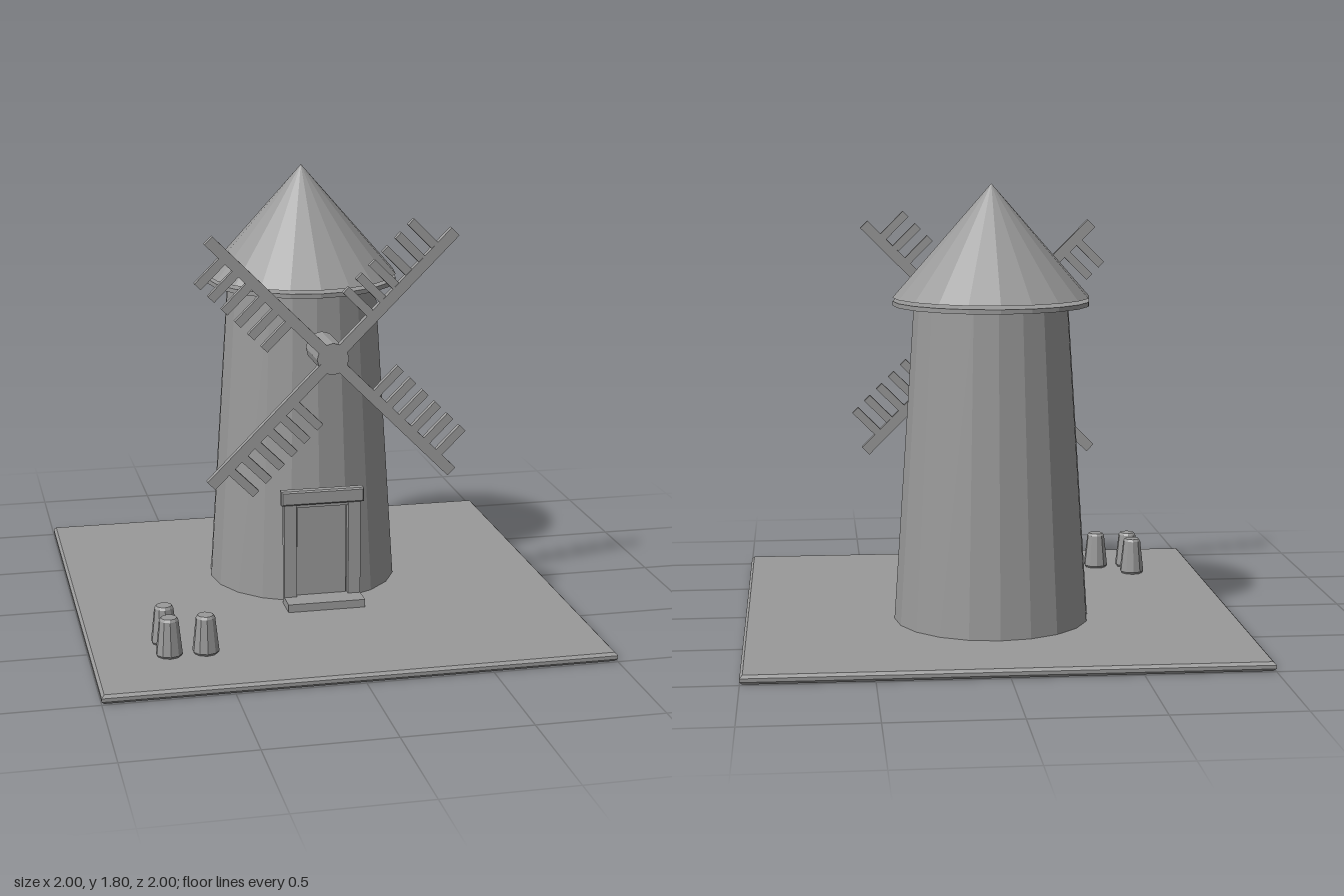
import * as THREE from 'three';

const stone = new THREE.MeshStandardMaterial({ color: 0x999999, flatShading: true });
stone.name = 'grey stone';

function add(parent, name, geometry, x = 0, y = 0, z = 0) {
  const mesh = new THREE.Mesh(geometry, stone);
  mesh.name = name;
  mesh.position.set(x, y, z);
  parent.add(mesh);
  return mesh;
}

// Box with chamfered edges, centred on the origin
function chamferBox(w, h, d, c) {
  const x = w / 2 - c, y = h / 2 - c;
  const shape = new THREE.Shape([[-x, -y], [x, -y], [x, y], [-x, y]].map(p => new THREE.Vector2(...p)));
  const g = new THREE.ExtrudeGeometry(shape, {
    depth: d - 2 * c, bevelEnabled: true, bevelSegments: 1, bevelSize: c, bevelThickness: c,
  });
  return g.translate(0, 0, c - d / 2);
}

function createSails() {
  const sails = new THREE.Group();
  sails.name = 'sails';
  const hub = add(sails, 'hub', new THREE.CylinderGeometry(0.064, 0.064, 0.215, 12), 0, 0, -0.095);
  hub.rotation.x = Math.PI / 2;
  const slats = 6;
  for (let i = 0; i < 4; i++) {
    const sail = new THREE.Group();
    sail.name = 'sail';
    sail.rotation.z = Math.PI / 4 + i * Math.PI / 2;
    add(sail, 'sailArm', new THREE.BoxGeometry(0.69, 0.044, 0.028), 0.345, 0, 0);
    // Slats stand on one side of each arm
    for (let j = 0; j < slats; j++) {
      const s = 0.23 + j * (0.365 / (slats - 1));
      add(sail, 'sailSlat', new THREE.BoxGeometry(0.034, 0.157, 0.024), s, 0.0785, 0);
    }
    sails.add(sail);
  }
  return sails;
}

function createDoor() {
  const door = new THREE.Group();
  door.name = 'doorway';
  for (const side of [-1, 1]) {
    add(door, 'doorPost', new THREE.BoxGeometry(0.052, 0.4, 0.032), side * 0.134, 0.267, 0.205);
  }
  add(door, 'doorHeader', new THREE.BoxGeometry(0.216, 0.016, 0.026), 0, 0.458, 0.2);
  add(door, 'doorPanel', new THREE.BoxGeometry(0.204, 0.384, 0.02), 0, 0.26, 0.19);
  add(door, 'lintel', chamferBox(0.344, 0.06, 0.042, 0.006), 0, 0.495, 0.21);
  add(door, 'doorStep', new THREE.BoxGeometry(0.32, 0.036, 0.12), 0, 0.051, 0.247);
  return door;
}

export function createModel() {
  const model = new THREE.Group();
  model.name = 'windmill';
  const towerZ = -0.205;

  // Ground slab
  const slab = add(model, 'groundSlab', chamferBox(2, 2, 0.036, 0.011), 0, 0.018, 0);
  slab.rotation.x = -Math.PI / 2;

  // Tapered tower, thin eaves disc and cone roof just above it
  add(model, 'tower', new THREE.CylinderGeometry(0.31, 0.395, 1.285, 20), 0, 0.6765, towerZ);
  add(model, 'eaves', new THREE.CylinderGeometry(0.395, 0.395, 0.018, 20), 0, 1.322, towerZ);
  add(model, 'roof', new THREE.ConeGeometry(0.395, 0.451, 20), 0, 1.5705, towerZ);

  const sails = createSails();
  sails.position.set(0, 1.115, 0.397);
  model.add(sails, createDoor());

  // Tapered sacks with a chamfered top
  const profile = [[0, 0], [0.046, 0], [0.053, 0.01], [0.038, 0.145], [0.031, 0.155], [0, 0.155]]
    .map(p => new THREE.Vector2(...p));
  for (const [x, z] of [[-0.7, 0.52], [-0.7, 0.655], [-0.557, 0.655]]) {
    add(model, 'sack', new THREE.LatheGeometry(profile, 10), x, 0.035, z);
  }
  return model;
}
